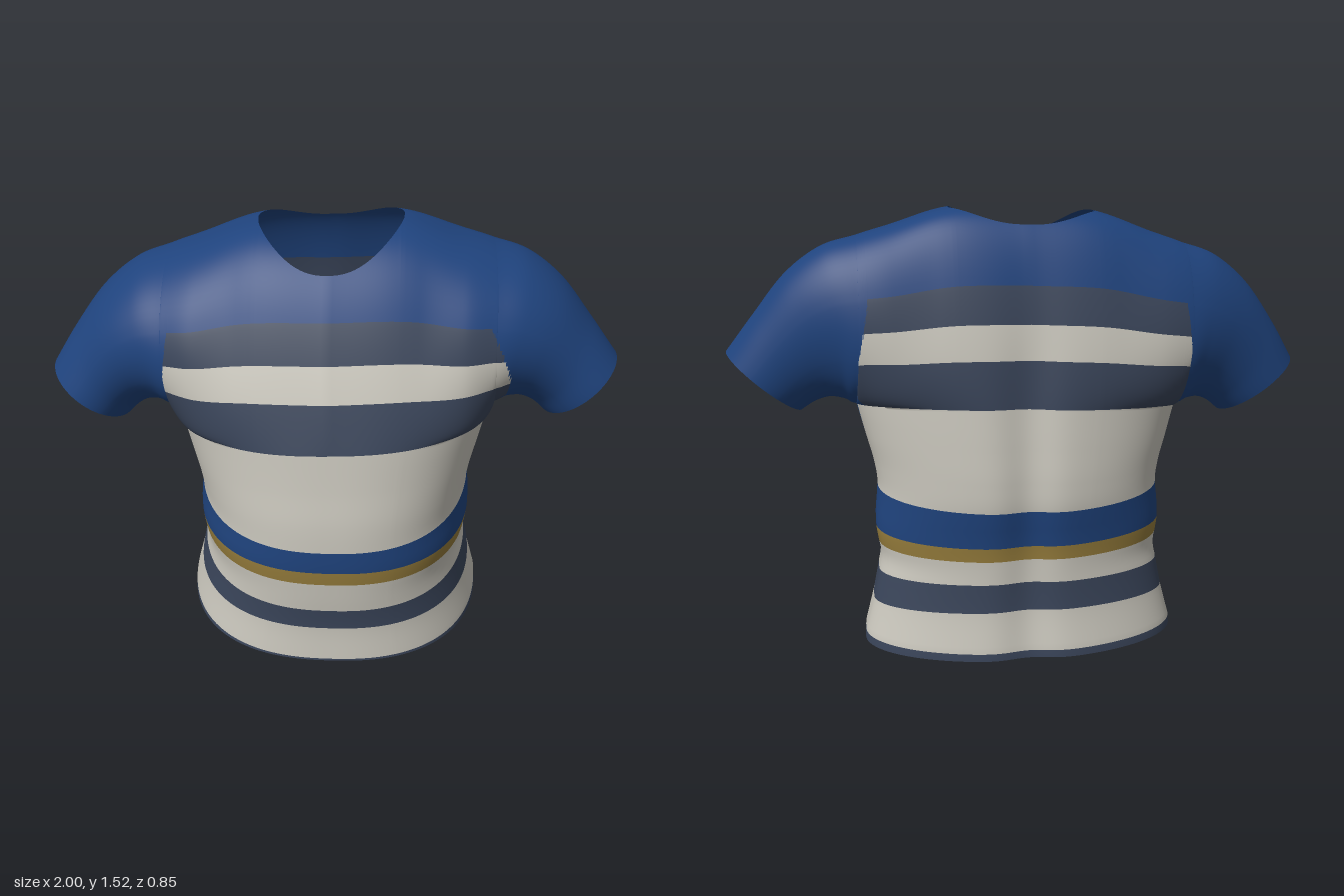
import * as THREE from 'three';
import { mergeVertices } from 'three/addons/utils/BufferGeometryUtils.js';

const mat = (name, color) => new THREE.MeshStandardMaterial({ name, color, side: THREE.DoubleSide });
const { lerp, smoothstep } = THREE.MathUtils;

// Smooth interpolation through rows of [key, ...values]
function track(rows) {
  const n = rows[0].length - 1;
  const curve = new THREE.CubicInterpolant(rows.map(r => r[0]), rows.flatMap(r => r.slice(1)), n, new Float32Array(n));
  return k => Array.from(curve.evaluate(k));
}

// Torso by height: half width, front z, back z, side seam z
const torso = track([
  [0, .555, .41, -.43, -.17], [.15, .52, .405, -.405, -.165], [.3, .49, .42, -.4, -.155],
  [.42, .505, .43, -.405, -.145], [.5, .495, .43, -.42, -.138], [.6, .505, .425, -.42, -.13],
  [.72, .53, .41, -.41, -.125], [.865, .56, .395, -.395, -.12],
]);

// Shoulder and sleeve: underarm x, y, top x, y, front depth, back depth, seam z
const arm = track([
  [0, 0, .85, 0, 1.53, .515, .275, -.12], [.25, .25, .85, .25, 1.52, .49, .27, -.12],
  [.45, .45, .85, .45, 1.455, .44, .24, -.12], [.56, .56, .85, .56, 1.42, .37, .205, -.12],
  [.66, .6, .866, .68, 1.38, .31, .175, -.112], [.76, .65, .87, .8, 1.287, .26, .15, -.1],
  [.86, .7, .85, .91, 1.145, .217, .135, -.085], [.96, .745, .815, 1, 1.015, .185, .142, -.06],
]);

// Stripe edges on the torso: height at front, side, back, and the stripe above
const levels = [
  [.008, .022, .01, 'hemBand'], [.016, .052, .036, 'lowerHem'], [.153, .172, .178, 'lowerSlateStripe'],
  [.237, .278, .278, 'lowerCreamStripe'], [.36, .38, .36, 'goldStripe'], [.412, .435, .408, 'blueWaistStripe'],
  [.497, .572, .535, 'creamMidriff'], [.865, .85, .885, ''],
];
// Chest stripes as fractions of the height from armpit to shoulder
const chest = [
  [0, 'slateChestStripe', 10], [.248, 'creamChestStripe', 6],
  [.43, 'upperSlateStripe', 8], [.624, 'yokeAndSleeves', 18],
];

const HALF = .56, NECK = .25;
// Body cross-section, squarer at the front than at the back
const round = (t, front) => {
  const n = front ? 2.4 : 2;
  return Math.pow(Math.max(0, 1 - Math.pow(Math.abs(t), n)), 1 / n);
};
const groove = x => 1 - .1 * Math.exp(-((x / .09) ** 2));
const ringHeight = (lv, t, front) => lerp(lv[1], front ? lv[0] : lv[2], round(t, front));

// Slight lean of the worn garment
function lean(x, y, z) {
  return [x + .015 * (1 - smoothstep(y, .8, 1.2)), y + .035 * x * smoothstep(y, .4, .8), z];
}

function torsoPoint(t, lv, front) {
  const [w, zf, zb, zs] = torso(lv[0]);
  const depth = round(t, front) * (front ? zf - zs : (zb - zs) * groove(t * HALF));
  return lean(t * w, ringHeight(lv, t, front), zs + depth);
}

// s runs from cuff to cuff, row is [stripe index, fraction inside stripe]
function upperPoint(s, [k, r], front) {
  const a = Math.abs(s), sign = Math.sign(s), t = Math.min(1, a / HALF);
  let [xb, yb, xt, yt, df, db, zs] = arm(a);
  if (a <= HALF) {
    xb = xt = a;
    yb = ringHeight(levels[levels.length - 1], t, front);
  }
  const D = front ? df : db, power = front ? .357 : .32;
  // Oval neckline trims the top of the panels near the middle
  const oval = Math.sqrt(Math.max(0, 1 - (a / NECK) ** 2.4));
  const top = (1 - ((front ? .55 : .45) * oval) ** (1 / power)) ** .952;
  const edge = i => i === 4 ? top : chest[i][0] + (i > 0 ? .04 * t ** 4 : 0);
  const ease = k === 0 ? r ** 1.8 : k === 3 ? 1 - (1 - r) ** 2.5 : r;
  const f = lerp(edge(k), edge(k + 1), ease);
  // Chest profile fades into the round sleeve, and its lower end meets the torso
  const chestShare = 1 - smoothstep(a, .3, .74);
  const body = Math.pow(Math.max(0, 1 - f ** 1.05), power);
  const tube = Math.sqrt(Math.max(0, 4 * f * (1 - f)));
  const ring = round(t, front) * (front ? .515 : .275);
  let depth = D * lerp(tube, body, chestShare) + (ring - D * chestShare) * (1 - f) ** 8;
  if (!front) depth *= -lerp(groove(a), 1, f);
  return lean(sign * lerp(xb, xt, f), lerp(yb, yt, f), zs + depth);
}

export function createModel() {
  const cream = mat('cream', 0xcac7bd), slate = mat('slate', 0x3a455a);
  const blue = mat('blue', 0x1f437d), gold = mat('gold', 0x947b3b);
  const paint = {
    hemBand: slate, lowerHem: cream, lowerSlateStripe: slate, lowerCreamStripe: cream, goldStripe: gold,
    blueWaistStripe: blue, creamMidriff: cream, slateChestStripe: slate, creamChestStripe: cream,
    upperSlateStripe: slate, yokeAndSleeves: blue, underarmGusset: blue,
  };
  const points = [], owners = [];

  function triangle(a, b, c, part) {
    points.push(...a, ...b, ...c);
    owners.push(part);
  }
  // Quad grid; name(part, centre, column, front) gives the part of each triangle
  function grid(cols, rows, point, front, name) {
    const p = rows.map(r => cols.map(c => point(c, r.at, front)));
    for (let j = 0; j < rows.length - 1; j++) for (let i = 0; i < cols.length - 1; i++) {
      const q = [p[j][i], p[j][i + 1], p[j + 1][i + 1], p[j + 1][i]];
      for (const [a, b, c] of [[0, 1, 2], [0, 2, 3]]) {
        const mid = [0, 1, 2].map(m => (q[a][m] + q[b][m] + q[c][m]) / 3);
        const part = name(rows[j].part, mid, (cols[i] + cols[i + 1]) / 2, front);
        if (front) triangle(q[a], q[b], q[c], part);
        else triangle(q[a], q[c], q[b], part);
      }
    }
  }

  // Columns: around the body, finer at the neck corners and side seams, then along each sleeve
  const N = 100, M = 40;
  const body = Array.from({ length: N + 1 }, (_, i) => i === 0 ? -1 : i === N ? 1 : Math.sin((i / N - .5) * Math.PI));
  for (const x of [.236, .2425, .247, NECK]) body.push(x / HALF, -x / HALF);
  for (let d = .02; d < .42; d += .02) {
    const t = (1 - d ** 2.4) ** (1 / 2.4);
    body.push(t, -t);
  }
  body.sort((a, b) => a - b);
  const sleeve = Array.from({ length: M }, (_, i) => HALF + .4 * (i + 1) / M);
  const across = [...sleeve.map(s => -s).reverse(), ...body.map(t => t * HALF), ...sleeve];

  // Torso rows
  const torsoRows = [];
  for (let k = 0; k < levels.length - 1; k++) {
    const a = levels[k], b = levels[k + 1], n = k === 6 ? 50 : Math.ceil((b[0] - a[0]) / .025);
    for (let i = 0; i < n; i++) torsoRows.push({ at: [0, 1, 2].map(m => lerp(a[m], b[m], i / n)), part: a[3] });
  }
  torsoRows.push({ at: levels[levels.length - 1] });

  // Chest, yoke and sleeve rows
  const upperRows = [];
  chest.forEach(([, part, n], k) => {
    for (let i = 0; i < n; i++) upperRows.push({ at: [k, i / n], part });
  });
  upperRows.push({ at: [3, 1] });

  // Pointed blue gusset under each arm
  const underarm = ([x, y, z], width) =>
    y > .71 && y < .97 && Math.abs(x) > .4 && Math.abs(z + .125) < width * Math.min(1, (y - .71) / .15);
  const gusset = (part, mid, c, front) =>
    part === 'creamMidriff' && underarm(mid, front ? .19 : .02) ? 'underarmGusset' : part;
  // Stripes end at the sleeve seam, which slopes inward toward the shoulder
  const yoke = (part, mid, s, front) => {
    const rise = Math.max(0, mid[1] - 1.05);
    const seam = front && s > 0 ? .64 - .5 * rise : HALF - .15 * rise;
    return Math.abs(s) > seam || underarm(mid, front ? .23 : .1) ? 'yokeAndSleeves' : part;
  };

  for (const front of [true, false]) {
    grid(body, torsoRows, torsoPoint, front, gusset);
    grid(across, upperRows, upperPoint, front, yoke);
  }

  // Weld everything for smooth shading, then split into coloured parts
  const soup = new THREE.BufferGeometry();
  soup.setAttribute('position', new THREE.Float32BufferAttribute(points, 3));
  const welded = mergeVertices(soup, 1e-4);
  welded.computeVertexNormals();
  const shirt = new THREE.Group();
  shirt.name = 'shirt';
  for (const part of Object.keys(paint)) {
    const index = [];
    owners.forEach((o, i) => {
      if (o === part) for (let m = 0; m < 3; m++) index.push(welded.index.getX(i * 3 + m));
    });
    const g = new THREE.BufferGeometry();
    g.setAttribute('position', welded.attributes.position);
    g.setAttribute('normal', welded.attributes.normal);
    g.setIndex(index);
    const mesh = new THREE.Mesh(g, paint[part]);
    mesh.name = part;
    shirt.add(mesh);
  }
  return shirt;
}
